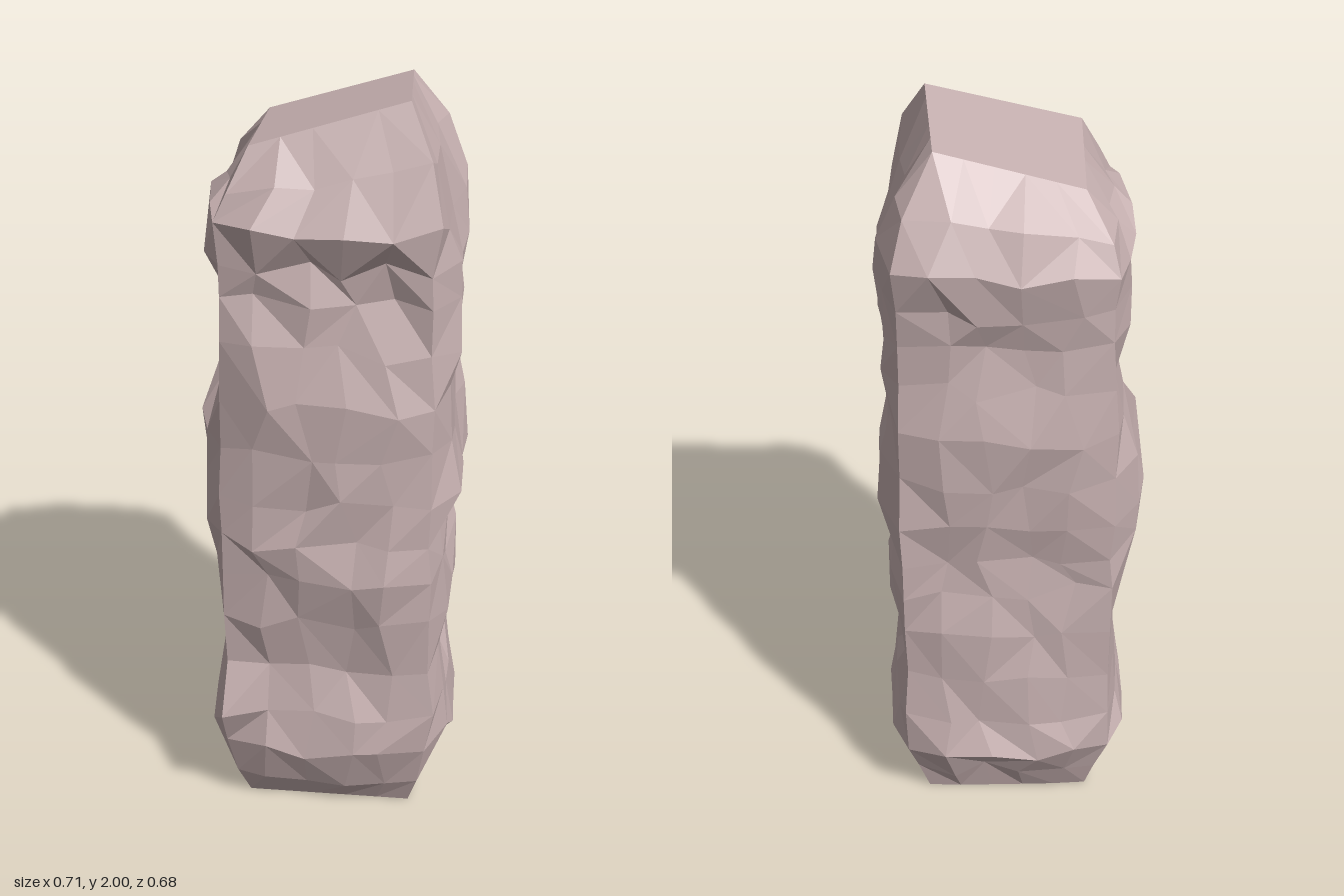
import * as THREE from 'three';

// Seeded random numbers for the chipped surface
function seeded(seed) {
  let s = seed;
  return () => {
    s = (s * 16807) % 2147483647;
    return s / 2147483647;
  };
}

// Height, then reach of the left (-x), right (+x), front (+z), back (-z) faces, then corner reach
const rows = [
  [0.00, 0.22, 0.22, 0.22, 0.23, 0.225],
  [0.09, 0.285, 0.265, 0.28, 0.285, 0.25],
  [0.20, 0.35, 0.335, 0.325, 0.345, 0.275],
  [0.31, 0.32, 0.325, 0.31, 0.325, 0.28],
  [0.45, 0.305, 0.30, 0.28, 0.305, 0.27],
  [0.60, 0.315, 0.325, 0.315, 0.305, 0.275],
  [0.73, 0.335, 0.32, 0.335, 0.29, 0.275],
  [0.84, 0.35, 0.315, 0.345, 0.29, 0.275],
  [0.96, 0.365, 0.34, 0.335, 0.305, 0.28],
  [1.10, 0.355, 0.335, 0.34, 0.32, 0.275],
  [1.24, 0.305, 0.32, 0.335, 0.325, 0.275],
  [1.38, 0.305, 0.345, 0.315, 0.305, 0.27],
  [1.50, 0.315, 0.335, 0.285, 0.295, 0.27],
  [1.60, 0.325, 0.335, 0.30, 0.315, 0.27],
  [1.71, 0.335, 0.32, 0.345, 0.34, 0.28],
  [1.82, 0.28, 0.27, 0.28, 0.28, 0.25],
];

// Crown outline: front left, front right, back right, back left
const crown = [[-0.2, 0.2], [0.195, 0.165], [0.175, -0.16], [-0.195, -0.15]];
const CROWN_Y = 1.935;

// Local knobs and chips: x, y, z, radius, outward push
const chips = [
  [-0.29, 0.29, 0.28, 0.08, 0.04],
  [0.32, 0.95, 0.14, 0.12, 0.04],
  [0.31, 0.82, 0.15, 0.10, -0.025],
  [0.32, 1.45, -0.03, 0.13, -0.04],
  [0.31, 0.42, 0.00, 0.09, -0.025],
  [-0.34, 0.95, -0.12, 0.12, 0.025],
  [-0.31, 1.35, 0.05, 0.13, -0.025],
  [0.00, 1.52, 0.28, 0.08, 0.025],
  [-0.13, 1.54, 0.28, 0.11, -0.02],
  [0.14, 1.54, 0.28, 0.11, -0.015],
  [0.10, 0.82, 0.33, 0.10, -0.02],
  [-0.05, 0.36, 0.29, 0.10, -0.02],
  [0.29, 1.68, -0.29, 0.10, 0.02],
];

const PER_SIDE = 5;
const RING = PER_SIDE * 4;
const normals = [[0, 1], [1, 0], [0, -1], [-1, 0]];

function createRock() {
  const rnd = seeded(90173);
  const pos = [];
  const index = [];
  const last = rows.length;

  rows.forEach(([y, left, right, front, back, corner], i) => {
    const rough = i === 0 ? 0 : 1;
    const lim = (v) => Math.min(v, corner);
    const L = -lim(left), R = lim(right), F = lim(front), B = -lim(back);
    const corners = [[L, F], [R, F], [R, B], [L, B]];
    const reach = [front, right, back, left];
    const tilt = THREE.MathUtils.smoothstep(y, 1.68, CROWN_Y);

    for (let s = 0; s < 4; s++) {
      const a = corners[s], b = corners[(s + 1) % 4], n = normals[s];
      for (let k = 0; k < PER_SIDE; k++) {
        const isCorner = k === 0;
        const u = (k + (isCorner ? 0 : (rnd() - 0.5) * 0.5 * rough)) / PER_SIDE;
        const t = Math.abs(u * 2 - 1);
        // Faces bulge between the sharper corners and are chipped inwards
        let push = isCorner ? (rnd() - 0.5) * 0.02 * rough
          : (reach[s] - lim(reach[s])) * (1 - t ** 5) - (rnd() * 0.032 - 0.003) * rough;
        let x = a[0] + (b[0] - a[0]) * u;
        let z = a[1] + (b[1] - a[1]) * u;
        let py = y + (rnd() - 0.5) * (isCorner ? 0.03 : 0.055) * rough;
        for (const [cx, cy, cz, r, p] of chips) {
          const d = Math.hypot(x - cx, py - cy, z - cz) / r;
          if (d < 1) push += p * (1 - d * d);
        }
        x += n[0] * push;
        z += n[1] * push;
        py += tilt * (0.3 * x + 0.05 * z);
        pos.push(x, py, z);
      }
    }
  });

  // Crown rim slopes down to the left and slightly to the back
  for (let j = 0; j < RING; j++) {
    const s = Math.floor(j / PER_SIDE), u = (j % PER_SIDE) / PER_SIDE;
    const a = crown[s], b = crown[(s + 1) % 4];
    const x = a[0] + (b[0] - a[0]) * u, z = a[1] + (b[1] - a[1]) * u;
    pos.push(x, CROWN_Y + 0.3 * x + 0.05 * z, z);
  }

  // Walls, with mixed diagonals
  for (let i = 0; i < last; i++) {
    for (let j = 0; j < RING; j++) {
      const a = i * RING + j, b = i * RING + ((j + 1) % RING);
      const c = b + RING, d = a + RING;
      if (rnd() < 0.5) index.push(a, b, c, a, c, d);
      else index.push(a, b, d, b, c, d);
    }
  }

  // Flat base and sloping crown
  const base = pos.length / 3;
  pos.push(0, 0, 0, 0, CROWN_Y, 0);
  for (let j = 0; j < RING; j++) {
    const k = (j + 1) % RING;
    index.push(base, k, j);
    index.push(base + 1, last * RING + j, last * RING + k);
  }

  const geo = new THREE.BufferGeometry();
  geo.setAttribute('position', new THREE.Float32BufferAttribute(pos, 3));
  geo.setIndex(index);
  const flat = geo.toNonIndexed();
  flat.computeVertexNormals();
  return flat;
}

export function createModel() {
  const group = new THREE.Group();
  group.name = 'rockPillar';
  const stone = new THREE.MeshStandardMaterial({ color: 0xc6b0b0, flatShading: true });
  const rock = new THREE.Mesh(createRock(), stone);
  rock.name = 'rock';
  group.add(rock);
  return group;
}
